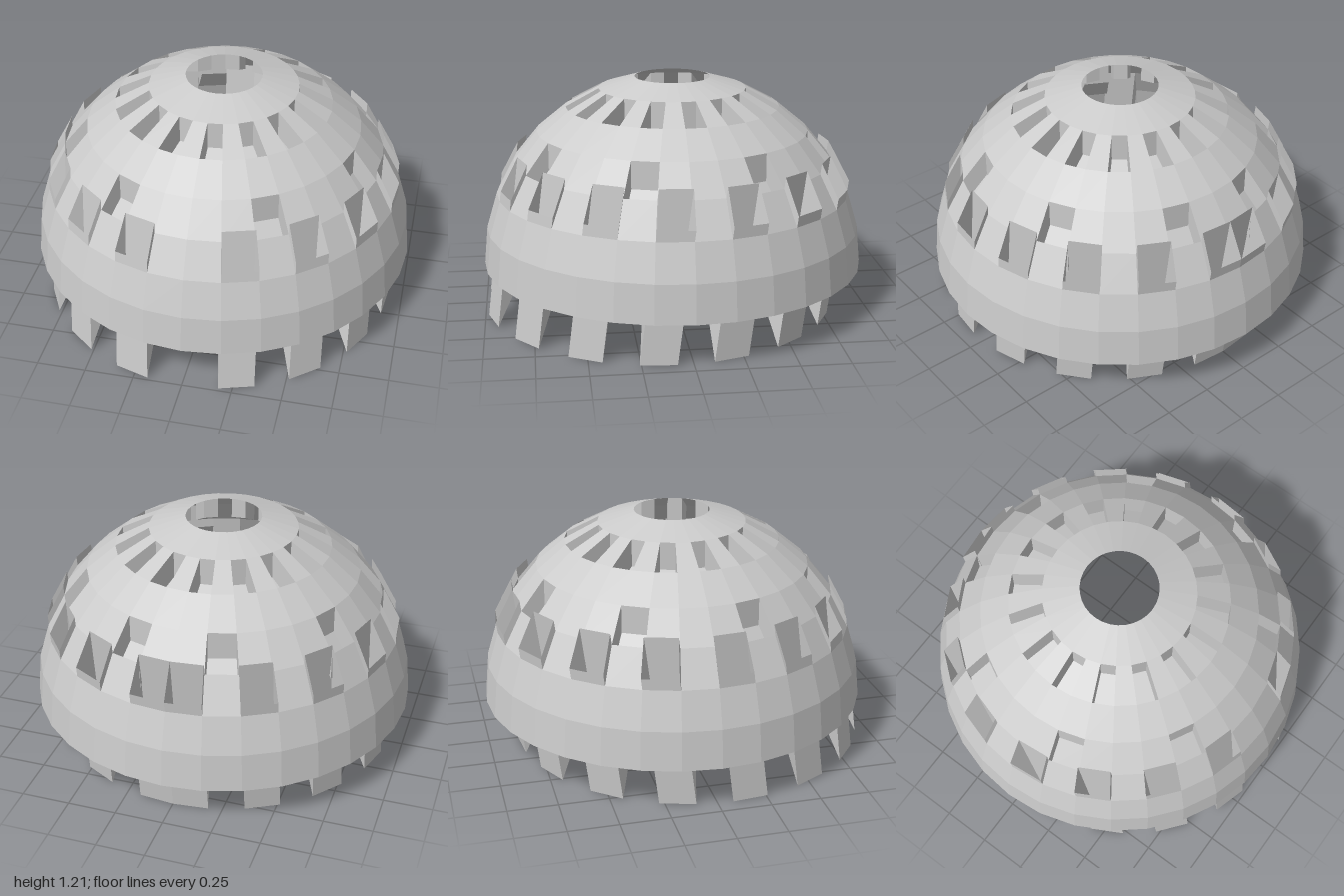
import * as THREE from 'three';

const SEGMENTS = 32;      // divisions around the dome
const RINGS = 7;          // bands from rim to top opening
const BASE = 0.23;        // height of the dome rim
const STEP = Math.PI / 16;

const material = new THREE.MeshStandardMaterial({
  color: 0xcccccc, flatShading: true, side: THREE.DoubleSide,
});

// Point on the dome: i counts round from the back towards +x, j counts up from the rim
function domePoint(i, j) {
  const a = i * STEP, lat = j * STEP;
  const r = Math.cos(lat);
  return new THREE.Vector3(r * Math.sin(a), BASE + Math.sin(lat), -r * Math.cos(a));
}

// Corners of one dome panel, counter-clockwise from outside
function panel(i, j) {
  return [domePoint(i + 1, j), domePoint(i, j), domePoint(i, j + 1), domePoint(i + 1, j + 1)];
}

function meshFromQuads(quads, name) {
  const points = quads.flatMap(([a, b, c, d]) => [a, b, c, a, c, d]);
  const geometry = new THREE.BufferGeometry().setFromPoints(points);
  geometry.computeVertexNormals();
  const mesh = new THREE.Mesh(geometry, material);
  mesh.name = name;
  return mesh;
}

// Open-topped tube with the outline of a panel, swept from one offset to another and closed at the end
function sweptPanel(i, j, start, end, name) {
  const corners = panel(i, j);
  const top = corners.map((p) => p.clone().add(start));
  const bottom = corners.map((p) => p.clone().add(end));
  const quads = [bottom];
  for (let k = 0; k < 4; k++) {
    const n = (k + 1) % 4;
    quads.push([top[k], bottom[k], bottom[n], top[n]]);
  }
  return meshFromQuads(quads, name);
}

export function createModel() {
  const model = new THREE.Group();
  model.name = 'slottedDome';

  const flush = new THREE.Vector3(0, 0, 0);
  const pocketEnd = new THREE.Vector3(0, -0.14, 0);
  const legStart = new THREE.Vector3(0, 0.055, -0.007);
  const legEnd = new THREE.Vector3(0, -0.613, 0.078);
  const openings = new Set();

  function addOpening(group, i, j, start, end, name) {
    openings.add(`${i},${j}`);
    group.add(sweptPanel(i, j, start, end, name));
  }

  // Leaning hollow legs, mirrored left and right
  const legs = new THREE.Group();
  legs.name = 'legs';
  for (let i = 0; i < 16; i += 2) {
    for (const k of [i, SEGMENTS - 1 - i]) addOpening(legs, k, 2, legStart, legEnd, 'leg');
  }

  // Sunken windows above the legs, mirrored left and right
  const windows = new THREE.Group();
  windows.name = 'windows';
  for (let i = 1; i < 16; i += 4) {
    for (const k of [i, SEGMENTS - 1 - i]) addOpening(windows, k, 3, flush, pocketEnd, 'windowPocket');
  }

  // Ring of sunken slots near the crown
  const slots = new THREE.Group();
  slots.name = 'crownSlots';
  for (let i = 1; i < SEGMENTS; i += 2) addOpening(slots, i, 5, flush, pocketEnd, 'slotPocket');

  // Dome shell, open at rim, crown and every pocket
  const shell = [];
  for (let j = 0; j < RINGS; j++) {
    for (let i = 0; i < SEGMENTS; i++) {
      if (!openings.has(`${i},${j}`)) shell.push(panel(i, j));
    }
  }

  model.add(meshFromQuads(shell, 'domeShell'), legs, windows, slots);
  return model;
}
